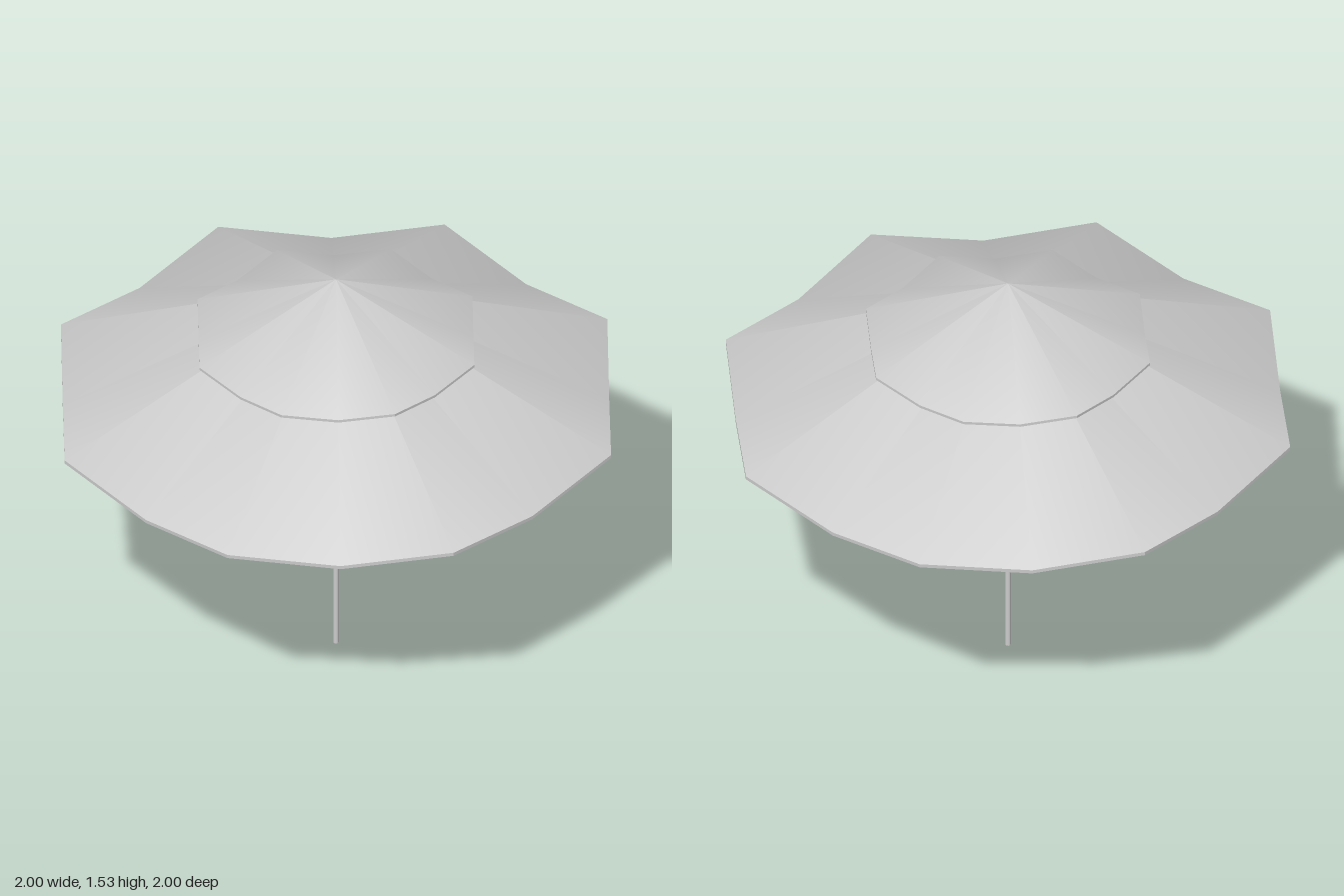
import * as THREE from 'three';
import { toCreasedNormals } from 'three/addons/utils/BufferGeometryUtils.js';

const SIDES = 8;
const grey = new THREE.MeshStandardMaterial({ color: 0xcccccc });
const cloth = new THREE.MeshStandardMaterial({ color: 0xcccccc, side: THREE.DoubleSide });

function add(parent, name, geometry, material = grey) {
  const mesh = new THREE.Mesh(geometry, material);
  mesh.name = name;
  parent.add(mesh);
  return mesh;
}

// Thin eight-cornered cloth shell: raised corners, edges sagging at mid-span
function canopyGeometry(apexY, cornerR, cornerY, midY, thickness) {
  const n = SIDES * 2;
  const pos = [], index = [];
  for (const drop of [0, thickness]) {
    pos.push(0, apexY - drop, 0);
    for (let i = 0; i < n; i++) {
      const a = (i / n) * Math.PI * 2;
      const mid = i % 2 === 1;
      const r = mid ? cornerR * Math.cos(Math.PI / SIDES) : cornerR;
      pos.push(r * Math.sin(a), (mid ? midY : cornerY) - drop, r * Math.cos(a));
    }
  }
  const under = n + 1;
  for (let i = 0; i < n; i++) {
    const a = 1 + i, b = 1 + ((i + 1) % n);
    index.push(0, a, b);                              // top
    index.push(under, under + b, under + a);          // underside
    index.push(a, under + a, under + b, a, under + b, b); // hem
  }
  const g = new THREE.BufferGeometry();
  g.setAttribute('position', new THREE.Float32BufferAttribute(pos, 3));
  g.setIndex(index);
  return toCreasedNormals(g, 0.7);
}

// Round bar between two points
function bar(parent, name, from, to, radius) {
  const dir = to.clone().sub(from);
  const mesh = add(parent, name, new THREE.CylinderGeometry(radius, radius, dir.length(), 8));
  mesh.position.copy(from).addScaledVector(dir, 0.5);
  mesh.quaternion.setFromUnitVectors(new THREE.Vector3(0, 1, 0), dir.normalize());
}

// Turned part from [radius, y] pairs
function turned(parent, name, profile) {
  const points = profile.map(([r, y]) => new THREE.Vector2(r, y));
  add(parent, name, toCreasedNormals(new THREE.LatheGeometry(points, 16), 0.6));
}

export function createModel() {
  const model = new THREE.Group();
  model.name = 'parasol';

  // Cloth tiers
  add(model, 'mainCanopy', canopyGeometry(1.52, 1, 1.066, 1.014, 0.013), cloth);
  add(model, 'topCanopy', canopyGeometry(1.533, 0.503, 1.31, 1.286, 0.01), cloth);

  // Pole, sliding runner and top hub
  turned(model, 'pole', [[0, 0], [0.0095, 0], [0.0095, 1.49], [0, 1.49]]);
  turned(model, 'runner', [[0.0095, 0.92], [0.013, 0.92], [0.013, 0.95],
    [0.018, 0.952], [0.018, 0.968], [0.0095, 0.968]]);
  turned(model, 'topHub', [[0.0095, 1.45], [0.018, 1.45], [0.018, 1.475], [0.0095, 1.475]]);

  // Ribs under each corner, braced by struts from the runner
  const frame = new THREE.Group();
  frame.name = 'frame';
  model.add(frame);
  for (let i = 0; i < SIDES; i++) {
    const a = (i / SIDES) * Math.PI * 2;
    const at = (r, y) => new THREE.Vector3(r * Math.sin(a), y, r * Math.cos(a));
    bar(frame, 'rib', at(0.01, 1.463), at(0.895, 1.078), 0.007);
    bar(frame, 'strut', at(0.014, 0.96), at(0.467, 1.262), 0.004);
  }
  return model;
}
